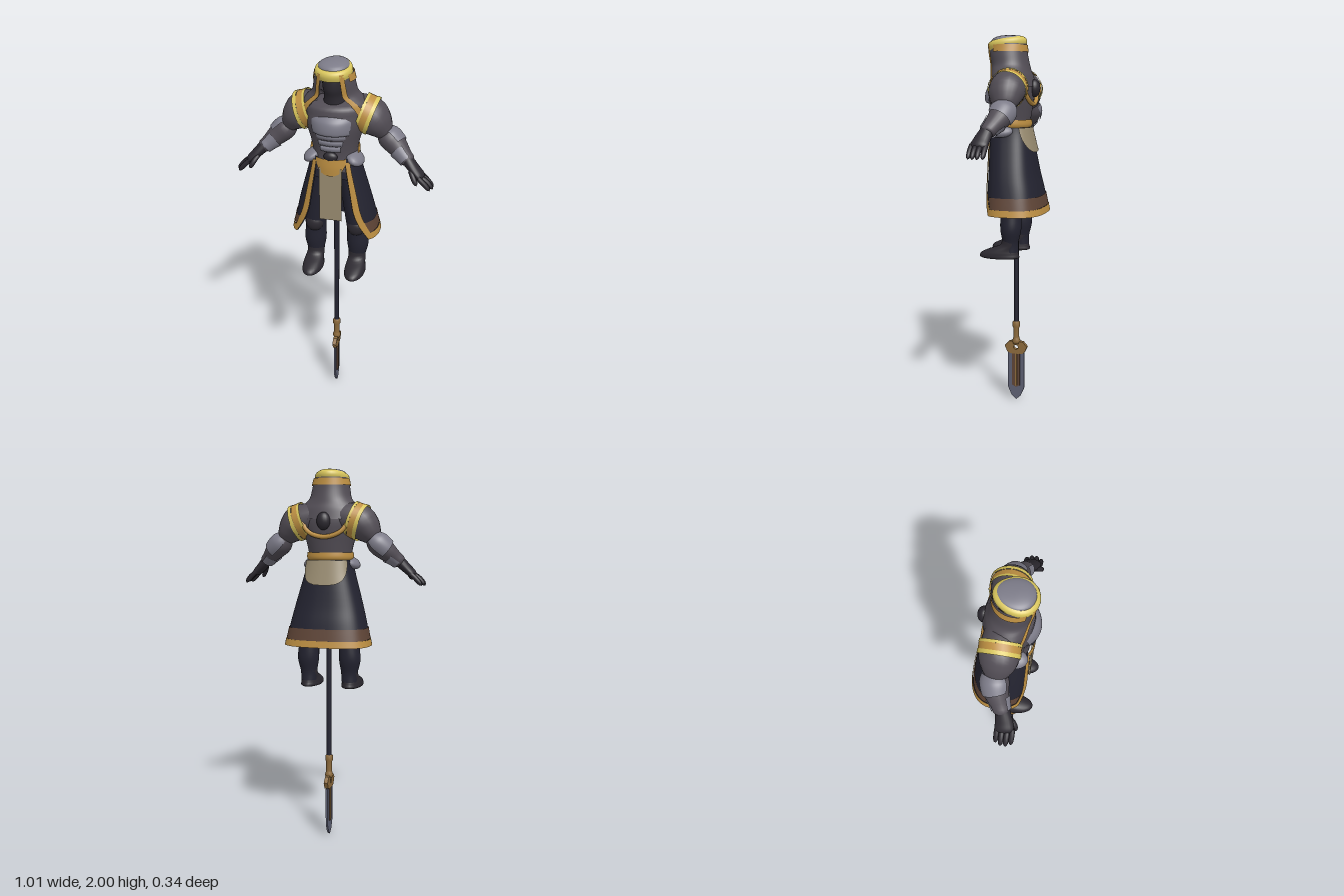
import * as THREE from 'three';
import { mergeVertices } from 'three/addons/utils/BufferGeometryUtils.js';

const mat = (name, color) => new THREE.MeshStandardMaterial({ name, color, side: THREE.DoubleSide });
const M = {
  cloth: mat('greyCloth', 0x524d55), plate: mat('greyPlate', 0x7c7b88), navy: mat('navyCloth', 0x232330),
  gold: mat('goldTrim', 0xbd8f42), yellow: mat('yellowTrim', 0xd8c55c), brown: mat('brownBand', 0x5e4436),
  tan: mat('tanPanel', 0x988b70), black: mat('blackLeather', 0x2c2930), steel: mat('steel', 0x5c5f72),
  bronze: mat('bronze', 0x8c6a3c),
};
const TAU = Math.PI * 2;

// Smooth interpolation through a table of cross-sections
function at(rows, t) {
  const n = rows.length - 1, x = Math.min(Math.max(t, 0), 1) * n, i = Math.min(Math.floor(x), n - 1), f = x - i;
  const r = k => rows[Math.min(Math.max(k, 0), n)];
  return rows[0].map((_, c) => {
    const p0 = r(i - 1)[c], p1 = r(i)[c], p2 = r(i + 1)[c], p3 = r(i + 2)[c];
    const m1 = (p2 - p0) / 2, m2 = (p3 - p1) / 2, f2 = f * f, f3 = f2 * f;
    return (2 * f3 - 3 * f2 + 1) * p1 + (f3 - 2 * f2 + f) * m1 + (3 * f2 - 2 * f3) * p2 + (f3 - f2) * m2;
  });
}

// Smooth surface from a rule f(u, v)
function grid(f, nu, nv) {
  const pos = [], idx = [];
  for (let j = 0; j <= nv; j++) for (let i = 0; i <= nu; i++) pos.push(...f(i / nu, j / nv));
  for (let j = 0; j < nv; j++) for (let i = 0; i < nu; i++) {
    const a = j * (nu + 1) + i, b = a + 1, c = b + nu + 1, d = a + nu + 1;
    idx.push(a, b, c, a, c, d);
  }
  let g = new THREE.BufferGeometry();
  g.setAttribute('position', new THREE.Float32BufferAttribute(pos, 3));
  g.setIndex(idx);
  g = mergeVertices(g, 1e-5);
  g.computeVertexNormals();
  return g;
}

// Upright loft: rows [y, cz, rx, rz, cx]; angle 0 faces front, a0/a1 may depend on y
function loft(rows, { a0 = () => 0, a1 = () => TAU, p = 1, grow = 0, nu = 32, nv = 20, v0 = 0, v1 = 1 } = {}) {
  const pw = x => Math.sign(x) * Math.abs(x) ** p;
  return grid((u, v) => {
    const [y, cz, rx, rz, cx = 0] = at(rows, v0 + (v1 - v0) * v);
    const s = a0(y), a = s + (a1(y) - s) * u;
    return [cx + (rx + grow) * pw(Math.sin(a)), y, cz + (rz + grow) * pw(Math.cos(a))];
  }, nu, nv);
}

// Loft along a path: rows [x, y, z, radius across, radius in z]
function limb(rows, { a0 = 0, a1 = TAU, v0 = 0, v1 = 1, grow = 0, nu = 20, nv = 16 } = {}) {
  return grid((u, v) => {
    const t = v0 + (v1 - v0) * v, c = at(rows, t), a = a0 + (a1 - a0) * u;
    const P = new THREE.Vector3(...at(rows, t - 0.02)), T = new THREE.Vector3(...at(rows, t + 0.02)).sub(P).normalize();
    const Z = new THREE.Vector3(0, 0, 1).addScaledVector(T, -T.z).normalize();
    const N = new THREE.Vector3().crossVectors(T, Z);
    return new THREE.Vector3(...c).addScaledVector(N, (c[3] + grow) * Math.sin(a))
      .addScaledVector(Z, (c[4] + grow) * Math.cos(a)).toArray();
  }, nu, nv);
}

function add(parent, name, geo, material) {
  const m = new THREE.Mesh(geo, material);
  m.name = name;
  parent.add(m);
  return m;
}
function ball(parent, name, material, pos, size, rz = 0) {
  const m = add(parent, name, new THREE.SphereGeometry(1, 20, 14), material);
  m.position.set(...pos); m.scale.set(...size); m.rotation.z = rz;
}

const HOOD = [[1.74, .015, .175, .115], [1.79, .02, .165, .108], [1.82, .025, .14, .102], [1.85, .03, .112, .1], [1.9, .04, .1, .1], [1.955, .046, .088, .1]];
const SKIRT = [[1.08, -.012, .228, .152], [1.2, -.002, .203, .139], [1.3, .008, .178, .126], [1.47, .022, .13, .11], [1.53, .025, .118, .1]];
const hoodEdge = y => .5 + 3.5 * Math.max(0, 1.84 - y);
const skirtEdge = y => .5 + 1.6 * Math.max(0, (1.47 - y) / .39 - .5) ** 2;

function buildTorso(g) {
  add(g, 'torso', loft([[1.45, .02, .125, .1], [1.53, .025, .113, .095], [1.6, .025, .123, .105], [1.68, .025, .145, .118],
    [1.74, .02, .155, .116], [1.79, .02, .14, .1], [1.81, .02, .001, .001]]), M.cloth);
  add(g, 'chestPlate', loft([[1.65, .025, .12, .115], [1.665, .03, .125, .135], [1.72, .025, .13, .133], [1.76, .02, .12, .1]],
    { a0: () => -.85, a1: () => .85 }), M.plate);
  for (let i = 0; i < 3; i++) {
    const y = 1.565 + i * .03, w = .42 + i * .1;
    add(g, 'ribPlate', loft([[y, .025, .12, .1], [y + .005, .025, .122, .113], [y + .024, .025, .126, .117], [y + .028, .025, .124, .1]],
      { a0: () => -w, a1: () => w, nv: 8 }), M.plate);
  }
  // Back knob and hanging trim
  ball(g, 'backKnob', M.black, [0, 1.73, -.098], [.036, .046, .03]);
  const curve = new THREE.CatmullRomCurve3([[-.135, 1.74, -.07], [-.085, 1.675, -.088], [0, 1.65, -.092], [.085, 1.675, -.088], [.135, 1.74, -.07]]
    .map(p => new THREE.Vector3(...p)));
  add(g, 'backTrim', new THREE.TubeGeometry(curve, 30, .012, 8), M.gold);
}

function buildHead(g) {
  add(g, 'hood', loft(HOOD, { a0: hoodEdge, a1: y => TAU - hoodEdge(y), nu: 40 }), M.cloth);
  for (const s of [0, 1]) add(g, 'hoodTrim', loft(HOOD, {
    a0: y => s ? TAU - hoodEdge(y) - .24 : hoodEdge(y), a1: y => s ? TAU - hoodEdge(y) : hoodEdge(y) + .24, grow: .006, nu: 6 }), M.gold);
  add(g, 'hoodBackTrim', loft([[1.915, .042, .098, .1], [1.95, .046, .09, .1]], { a0: () => 1, a1: () => TAU - 1, grow: .005, nv: 2 }), M.gold);
  add(g, 'face', loft([[1.78, .03, .06, .07], [1.83, .04, .05, .065], [1.87, .045, .055, .072], [1.92, .045, .058, .072], [1.96, .045, .05, .06]]), M.black);
  // Egg-shaped brow band and crown
  const egg = (u, k, dy, mix = 0) => {
    const a = u * TAU, c = Math.cos(a), y = 1.962 - .012 * c + dy;
    return [.087 * k * Math.sin(a) * (1 + .12 * c), y + (2 - y) * mix, .047 + .1 * k * c];
  };
  const band = [[.97, -.03], [1.03, -.008], [.98, .01], [.82, .02]];
  add(g, 'browBand', grid((u, v) => egg(u, ...at(band, v)), 36, 10), M.yellow);
  add(g, 'crown', grid((u, v) => egg(u, .85 * Math.cos(v * Math.PI / 2), .017, Math.sin(v * Math.PI / 2)), 36, 8), M.plate);
}

function buildSkirt(g) {
  const o = { p: .75, nu: 48 };
  add(g, 'skirt', loft(SKIRT, { ...o, a0: skirtEdge, a1: y => TAU - skirtEdge(y) }), M.navy);
  for (const s of [0, 1]) add(g, 'skirtFrontTrim', loft(SKIRT, { p: .75, nu: 6, grow: .007, v1: .9,
    a0: y => s ? TAU - skirtEdge(y) - .24 : skirtEdge(y), a1: y => s ? TAU - skirtEdge(y) : skirtEdge(y) + .24 }), M.gold);
  add(g, 'skirtHem', loft(SKIRT, { ...o, grow: .006, v1: .09, nv: 4, a0: skirtEdge, a1: y => TAU - skirtEdge(y) }), M.gold);
  add(g, 'skirtBand', loft(SKIRT, { ...o, grow: .004, v0: .09, v1: .2, nv: 4,
    a0: y => skirtEdge(y) + .22, a1: y => TAU - skirtEdge(y) - .22 }), M.brown);
  // Front panel, belt pieces and rear apron
  add(g, 'frontPanel', new THREE.BoxGeometry(.115, .29, .008).translate(0, 1.335, .132), M.tan);
  const half = (y, top, h, w) => w * Math.sqrt(Math.max(0, 1 - ((top - y) / h) ** 2));
  add(g, 'beltFront', loft([[1.44, .025, .13, .118], [1.485, .025, .128, .12], [1.53, .025, .125, .118]],
    { a0: y => -half(y, 1.53, .09, .65), a1: y => half(y, 1.53, .09, .65) }), M.gold);
  ball(g, 'buckle', M.black, [0, 1.54, .128], [.035, .025, .02]);
  add(g, 'backApron', loft([[1.4, .012, .152, .117], [1.46, .02, .134, .111], [1.53, .025, .12, .1]], { p: .75, grow: .007,
    a0: y => Math.PI - half(y, 1.53, .13, 1), a1: y => Math.PI + half(y, 1.53, .13, 1) }), M.tan);
  add(g, 'backBelt', loft([[1.53, .025, .12, .102], [1.545, .025, .126, .108], [1.57, .025, .124, .106]],
    { a0: () => 1.3, a1: () => TAU - 1.3, nv: 6 }), M.gold);
}

function buildSide(g) {
  // Arm
  add(g, 'upperArm', limb([[.07, 1.755, 0, .075, .08], [.155, 1.73, 0, .091, .092], [.195, 1.7, 0, .083, .09],
    [.225, 1.665, -.003, .062, .072], [.245, 1.635, -.005, .04, .05]]), M.cloth);
  for (const [d0, d1, m, r] of [[-.034, -.02, 'yellow', .001], [-.02, .012, 'gold', 0], [.012, .032, 'yellow', .002]]) {
    const row = d => [.155 + .94 * d, 1.73 - .33 * d, 0, .095 + r, .097 + r];
    add(g, 'shoulderBand', limb([row(d0), row(d1)], { nu: 32, nv: 2 }), M[m]);
  }
  const fore = [[.23, 1.65, -.01, .035, .045], [.26, 1.62, -.005, .056, .064], [.3, 1.585, .005, .054, .06],
    [.345, 1.545, .03, .04, .045], [.375, 1.52, .045, .032, .036], [.385, 1.51, .048, .002, .002]];
  add(g, 'forearm', limb(fore), M.cloth);
  add(g, 'elbowPlate', limb(fore, { a0: 2.7, a1: 5.6, v0: .06, v1: .42, grow: .007 }), M.plate);
  add(g, 'wristCuff', limb(fore, { a0: -.8, a1: 3.2, v0: .5, v1: .74, grow: .006 }), M.plate);
  // Gloved hand
  add(g, 'hand', limb([[.365, 1.53, .045, .03, .034], [.41, 1.485, .06, .025, .042], [.44, 1.457, .066, .02, .042], [.456, 1.442, .068, .002, .01]]), M.black);
  const digit = (name, pts) => add(g, name, limb(pts.map((p, i) => [...p, [.012, .013, .011, .001][i], [.012, .013, .011, .001][i]]), { nu: 10, nv: 8 }), M.black);
  for (let i = 0; i < 4; i++) {
    const z = .032 + i * .024, e = i === 0 || i === 3 ? -.012 : 0;
    digit('finger', [[.43, 1.463, z], [.468 + e, 1.44, z], [.494 + e, 1.412, z], [.503 + e, 1.4, z]]);
  }
  digit('thumb', [[.39, 1.487, .085], [.408, 1.462, .108], [.422, 1.437, .116], [.427, 1.426, .118]]);
  // Hip plate
  ball(g, 'hipPlate', M.plate, [.108, 1.515, .055], [.05, .03, .07], -.5);
  // Leg and boot
  add(g, 'leg', loft([[.88, 0, .042, .042, .115], [.93, 0, .045, .042, .115], [1, -.002, .058, .055, .117], [1.08, 0, .055, .055, .113],
    [1.14, .008, .058, .058, .11], [1.4, .01, .055, .07, .07]]), M.navy);
  ball(g, 'kneePlate', M.black, [.113, 1.11, .035], [.048, .05, .036]);
  add(g, 'boot', loft([[.844, .06, .001, .001, .115], [.845, .06, .05, .1, .116], [.868, .06, .054, .103, .116], [.89, .042, .05, .08, .116],
    [.915, .008, .046, .048, .115], [.95, 0, .047, .045, .115]], { nu: 28 }), M.black);
}

function buildSpear(g) {
  add(g, 'shaft', new THREE.CylinderGeometry(.014, .014, 1.06, 16).translate(0, .97, 0), M.navy);
  const prof = [[0, .33], [.018, .33], [.024, .345], [.018, .36], [.016, .37], [.016, .42], [.021, .43], [.021, .455], [.014, .46]];
  add(g, 'socket', new THREE.LatheGeometry(prof.map(p => new THREE.Vector2(...p)), 16), M.bronze);
  // Flat pieces lie in the z-y plane
  const flat = (name, half, depth, m, hole) => {
    const s = new THREE.Shape([...half, ...half.slice().reverse().map(([x, y]) => [-x, y])].map(p => new THREE.Vector2(...p)));
    if (hole) s.holes.push(new THREE.Path().absarc(0, .31, .013, 0, TAU, true));
    add(g, name, new THREE.ExtrudeGeometry(s, { depth, bevelEnabled: false }).translate(0, 0, -depth / 2).rotateY(Math.PI / 2), m);
  };
  flat('blade', [[.001, 0], [.025, .022], [.046, .07], [.047, .275], [.001, .275]], .01, M.steel);
  flat('bladeInlay', [[.001, .075], [.022, .085], [.022, .28], [.001, .28]], .016, M.brown);
  flat('inlayRidge', [[.001, .08], [.005, .085], [.005, .28], [.001, .28]], .02, M.bronze);
  flat('guard', [[.014, .272], [.03, .272], [.048, .28], [.064, .315], [.04, .342], [.018, .345]], .022, M.bronze, true);
}

export function createModel() {
  const root = new THREE.Group();
  root.name = 'robedGuardFigure';
  const group = (name, build) => {
    const g = new THREE.Group();
    g.name = name;
    build(g);
    root.add(g);
    return g;
  };
  group('torsoGroup', buildTorso);
  group('headGroup', buildHead);
  group('skirtGroup', buildSkirt);
  group('leftLimbs', buildSide);
  group('rightLimbs', buildSide).scale.x = -1;
  group('spear', buildSpear);
  return root;
}
